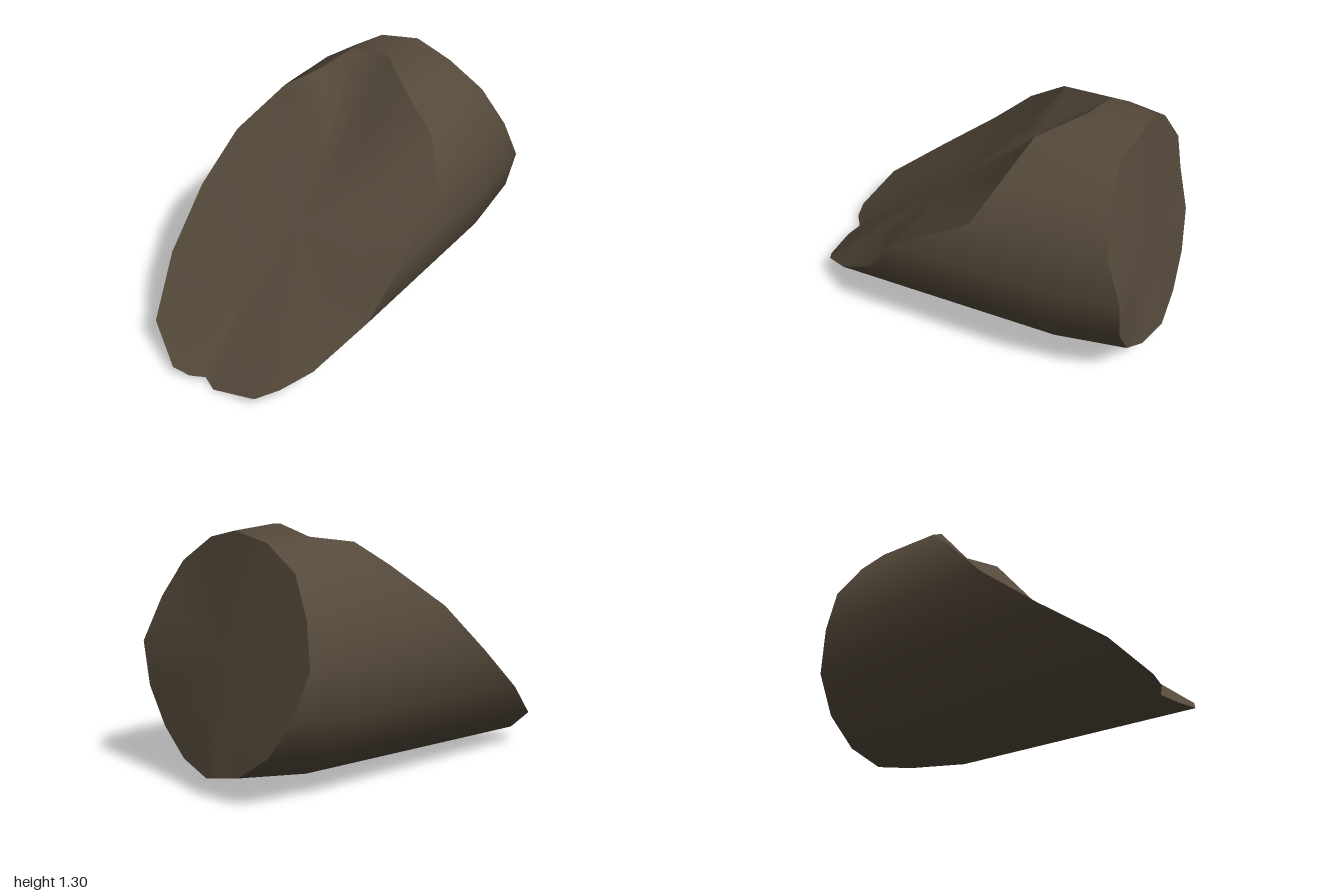
import * as THREE from 'three';

const wood = new THREE.MeshStandardMaterial({ color: 0x54493a });
wood.name = 'dark wood';

// Outline of the slanted cut: [corner number on a 16-sided ring, x]
const CUT = [
  [0, 0.52], [1, 0.34], [2, 0.27], [3, 0.16], [4, -0.25], [5, -0.43], [6, -0.7],
  [6.45, -0.85], [7, -0.92], [8, -0.96], [8.33, -0.93], [8.6, -0.98], [9, -1],
  [10, -0.9], [11, -0.61], [12, -0.3], [13, -0.05], [14, 0.2], [14.77, 0.29], [15, 0.54],
];
// x of the sawn end at each of the 16 corners
const END = [0.8, 0.775, 0.81, 0.86, 0.95, 0.95, 0.95, 0.97, 1, 0.98, 0.95, 0.91, 0.84, 0.82, 0.775, 0.785];
const N = CUT.length;

// Point on a 16-sided ring, counted from the top towards +z
function ringPoint(k, x, r, cy) {
  const corner = (i) => {
    const a = (i * Math.PI) / 8;
    return new THREE.Vector3(x, cy + r * Math.cos(a), r * Math.sin(a));
  };
  const i = Math.floor(k);
  return corner(i).lerp(corner(i + 1), k - i);
}

function endX(k) {
  const i = Math.floor(k);
  return THREE.MathUtils.lerp(END[i], END[(i + 1) % 16], k - i);
}

const axisY = (x) => 0.672 + (x - 0.57) * 0.023;

const cutLoop = CUT.map(([k, x]) => ringPoint(k, x, 0.633, axisY(x)));
const shoulderLoop = CUT.map(([k]) => ringPoint(k, 0.57, 0.633, 0.672));
const endLoop = CUT.map(([k]) => ringPoint(k, endX(k), 0.593, 0.692));

// Skin a list of loops; a single-point loop closes the shape
function skin(name, loops) {
  const points = [];
  const index = [];
  const starts = loops.map((loop) => {
    const start = points.length;
    points.push(...loop);
    return start;
  });
  for (let r = 0; r < loops.length - 1; r++) {
    for (let i = 0; i < N; i++) {
      const j = (i + 1) % N;
      const at = (row, c) => starts[row] + (loops[row].length === 1 ? 0 : c);
      const a = at(r, i), b = at(r, j), c = at(r + 1, i), d = at(r + 1, j);
      if (a !== b) index.push(a, b, c);
      if (c !== d) index.push(b, d, c);
    }
  }
  const geometry = new THREE.BufferGeometry().setFromPoints(points);
  geometry.setIndex(index);
  geometry.computeVertexNormals();
  const mesh = new THREE.Mesh(geometry, wood);
  mesh.name = name;
  return mesh;
}

export function createModel() {
  const group = new THREE.Group();
  group.name = 'log';

  // Round trunk, slightly narrowed at the sawn end
  group.add(skin('bark', [cutLoop, shoulderLoop, endLoop]));

  // Rough slanted break, pulled towards a plane in the middle
  const centre = new THREE.Vector3(-0.23, 0.655, 0);
  const inner = cutLoop.map((p) => {
    const q = centre.clone().lerp(p, 0.6);
    q.x = (q.x + (-0.98 + 1.15 * q.y)) / 2;
    return q;
  });
  group.add(skin('slantedBreak', [[centre], inner, cutLoop]));

  // Sawn end
  group.add(skin('sawnEnd', [endLoop, [new THREE.Vector3(0.9, 0.69, 0)]]));
  return group;
}
